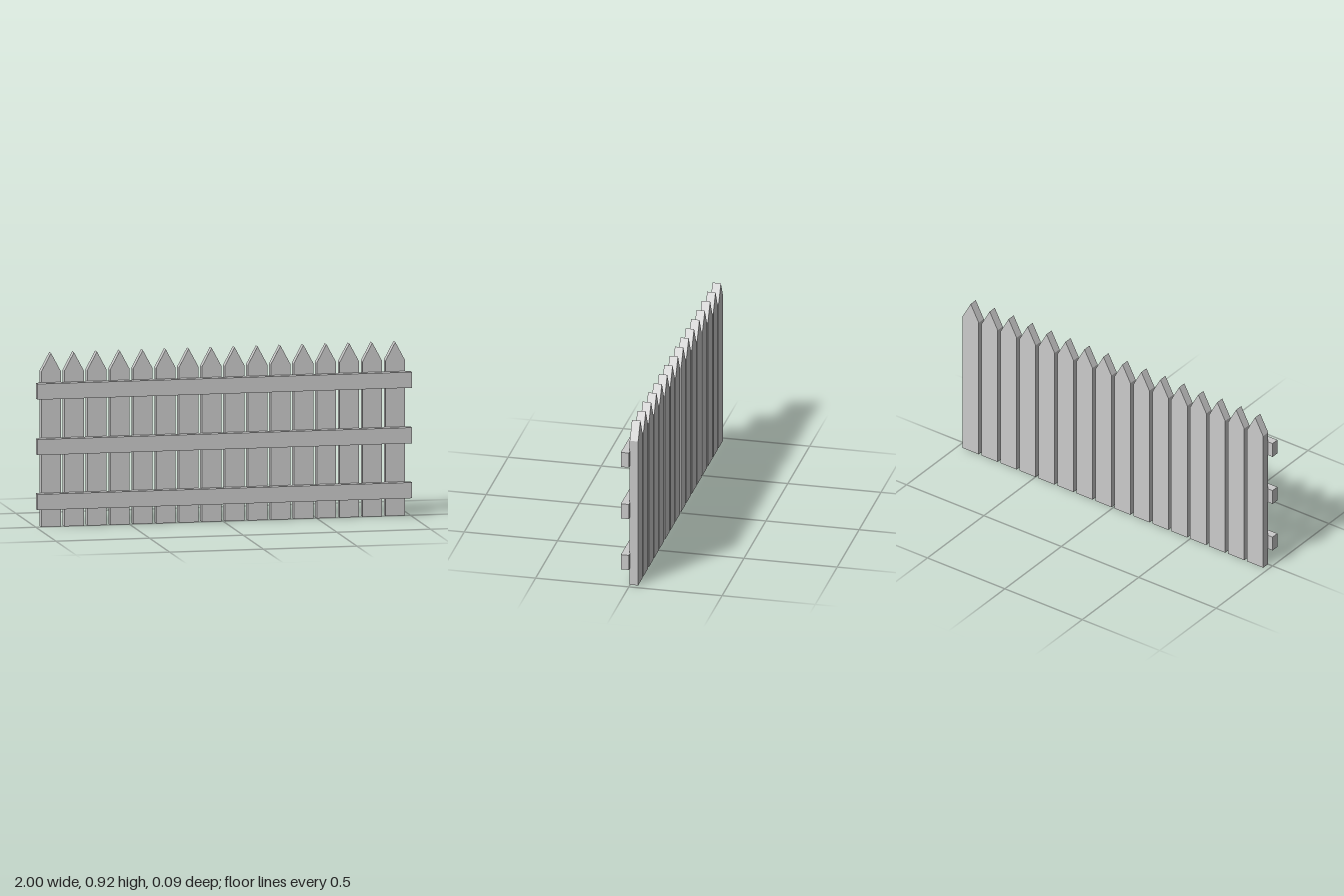
import * as THREE from 'three';

export function createModel() {
  const fence = new THREE.Group();
  fence.name = 'picketFence';
  const material = new THREE.MeshStandardMaterial({ color: 0xcccccc, flatShading: true });

  // Upright boards with pointed tops
  const count = 16, reach = 0.919, half = 0.052;
  const outline = new THREE.Shape([
    new THREE.Vector2(-half, 0),
    new THREE.Vector2(half, 0),
    new THREE.Vector2(half, 0.82),
    new THREE.Vector2(0, 0.917),
    new THREE.Vector2(-half, 0.82),
  ]);
  const picketGeometry = new THREE.ExtrudeGeometry(outline, { depth: 0.045, bevelEnabled: false });
  const pickets = new THREE.Group();
  pickets.name = 'pickets';
  for (let i = 0; i < count; i++) {
    const picket = new THREE.Mesh(picketGeometry, material);
    picket.name = `picket${i + 1}`;
    picket.position.set(-reach + (2 * reach * i) / (count - 1), 0, -0.043);
    pickets.add(picket);
  }
  fence.add(pickets);

  // Horizontal rails across the front
  const railGeometry = new THREE.BoxGeometry(2, 0.083, 0.043);
  const rails = { bottomRail: 0.138, middleRail: 0.428, topRail: 0.721 };
  for (const [name, y] of Object.entries(rails)) {
    const rail = new THREE.Mesh(railGeometry, material);
    rail.name = name;
    rail.position.set(0, y, 0.0215);
    fence.add(rail);
  }

  return fence;
}
